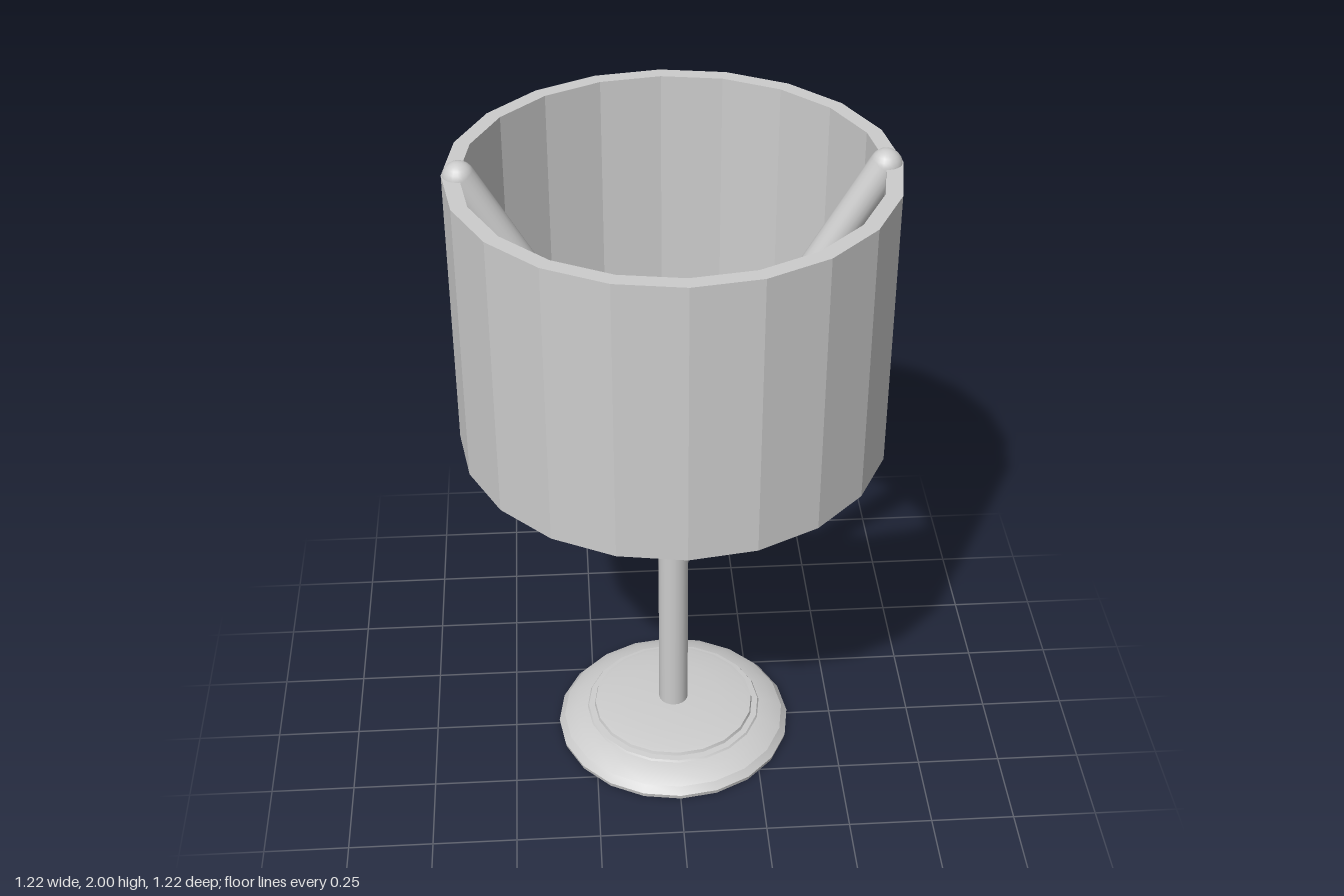
import * as THREE from 'three';
import { toCreasedNormals } from 'three/addons/utils/BufferGeometryUtils.js';

const SIDES = 20;
const TUBE = 0.045;

export function createModel() {
  const lamp = new THREE.Group();
  lamp.name = 'tableLamp';
  const grey = new THREE.MeshStandardMaterial({ color: 0xcccccc });
  grey.name = 'light grey';

  const add = (name, geometry, parent = lamp) => {
    const mesh = new THREE.Mesh(geometry, grey);
    mesh.name = name;
    parent.add(mesh);
    return mesh;
  };
  const lathe = (profile, crease) => toCreasedNormals(
    new THREE.LatheGeometry(profile.map(([r, y]) => new THREE.Vector2(r, y)), SIDES), crease);

  // Domed base with a stepped rim
  add('base', lathe([
    [0, 0], [0.36, 0], [0.363, 0.014], [0.345, 0.036], [0.31, 0.056], [0.272, 0.066],
    [0.268, 0.072], [0.25, 0.074], [0.247, 0.084], [0.232, 0.087], [0.15, 0.095], [0, 0.1],
  ], 0.35));

  // Upright stem, rounded at the top between the arms
  const stemTop = 1.07;
  const stem = add('stem', new THREE.CylinderGeometry(TUBE, TUBE, stemTop - 0.06, SIDES, 1, true));
  stem.position.y = (stemTop + 0.06) / 2;
  add('stemCap', new THREE.SphereGeometry(TUBE, SIDES, 10)).position.y = stemTop;

  // Two forked arms with round ends, reaching the shade's upper rim
  const root = new THREE.Vector3(0, 0.985, 0);
  for (const side of [1, -1]) {
    const arm = new THREE.Group();
    arm.name = side > 0 ? 'leftArm' : 'rightArm';
    lamp.add(arm);
    const tip = new THREE.Vector3(side * 0.564, 1.955, 0);
    const dir = tip.clone().sub(root);
    const rod = add('armRod', new THREE.CylinderGeometry(TUBE, TUBE, dir.length(), SIDES, 1, true), arm);
    rod.position.copy(root).addScaledVector(dir, 0.5);
    rod.quaternion.setFromUnitVectors(new THREE.Vector3(0, 1, 0), dir.normalize());
    add('armTip', new THREE.SphereGeometry(TUBE, SIDES, 12), arm).position.copy(tip);
  }

  // Thick faceted drum shade, open above and below
  add('shade', lathe([
    [0.61, 1.13], [0.61, 1.962], [0.565, 1.962], [0.565, 1.13], [0.61, 1.13],
  ], 0.1));

  return lamp;
}
